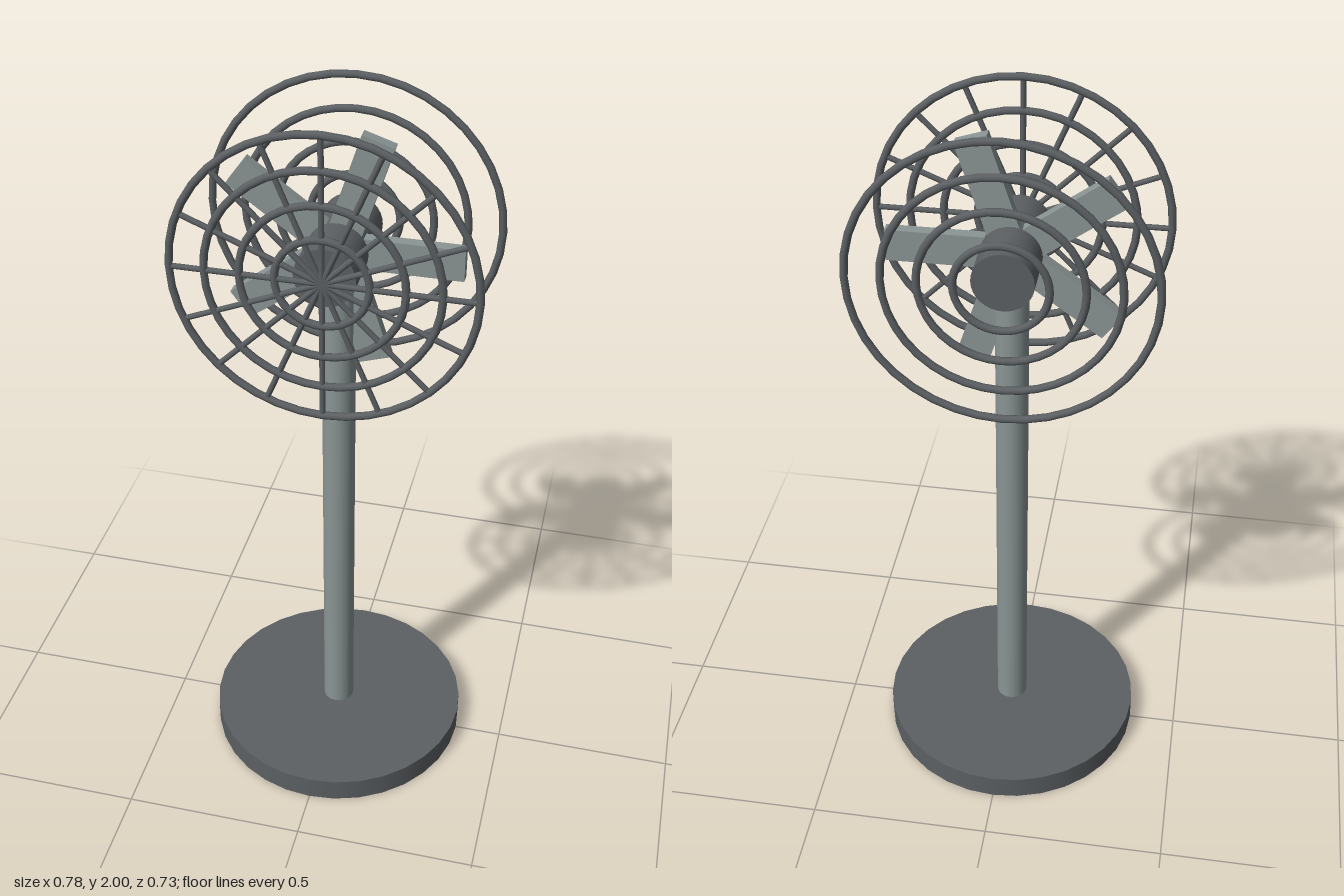
import * as THREE from 'three';

const HEAD_Y = 1.609;   // height of the fan axis
const GUARD_Z = 0.176;  // distance of each guard from the blades
const RING_RADII = [0.381, 0.293, 0.205, 0.117];
const WIRE = 0.0102;

export function createModel() {
  const dark = new THREE.MeshStandardMaterial({ color: 0x5c6063 });
  dark.name = 'dark grey';
  const light = new THREE.MeshStandardMaterial({ color: 0x8a9594 });
  light.name = 'light grey';

  const model = new THREE.Group();
  model.name = 'pedestalFan';

  const add = (parent, name, geometry, material) => {
    const mesh = new THREE.Mesh(geometry, material);
    mesh.name = name;
    parent.add(mesh);
    return mesh;
  };

  // Stand
  add(model, 'base', new THREE.CylinderGeometry(0.367, 0.367, 0.07, 32), dark).position.y = 0.035;
  const poleTop = 1.58;
  add(model, 'pole', new THREE.CylinderGeometry(0.044, 0.044, poleTop - 0.06, 24), light)
    .position.y = (poleTop + 0.06) / 2;

  // Head: everything turns about the z axis at HEAD_Y
  const head = new THREE.Group();
  head.name = 'head';
  head.position.y = HEAD_Y;
  model.add(head);

  const motor = new THREE.CylinderGeometry(0.078, 0.078, 0.3, 32).rotateX(Math.PI / 2);
  add(head, 'motor', motor, dark);

  // Five flat blades
  const blade = new THREE.BoxGeometry(0.259, 0.085, 0.03).translate(0.1875, 0, 0);
  for (let i = 0; i < 5; i++) {
    add(head, 'blade', blade, light).rotation.z = (i / 5) * Math.PI * 2;
  }

  // Guards: concentric rings front and back
  const rings = RING_RADII.map((r) => new THREE.TorusGeometry(r, WIRE, 8, 40));
  const makeGuard = (name, z) => {
    const guard = new THREE.Group();
    guard.name = name;
    guard.position.z = z;
    rings.forEach((ring) => add(guard, 'guardRing', ring, dark));
    head.add(guard);
    return guard;
  };
  const frontGuard = makeGuard('frontGuard', GUARD_Z);
  makeGuard('backGuard', -GUARD_Z);

  // Sixteen spokes on the front guard only
  const spoke = new THREE.CylinderGeometry(0.0075, 0.0075, RING_RADII[0], 8)
    .translate(0, RING_RADII[0] / 2, 0);
  for (let i = 0; i < 16; i++) {
    add(frontGuard, 'spoke', spoke, dark).rotation.z = (i / 16) * Math.PI * 2;
  }

  return model;
}
